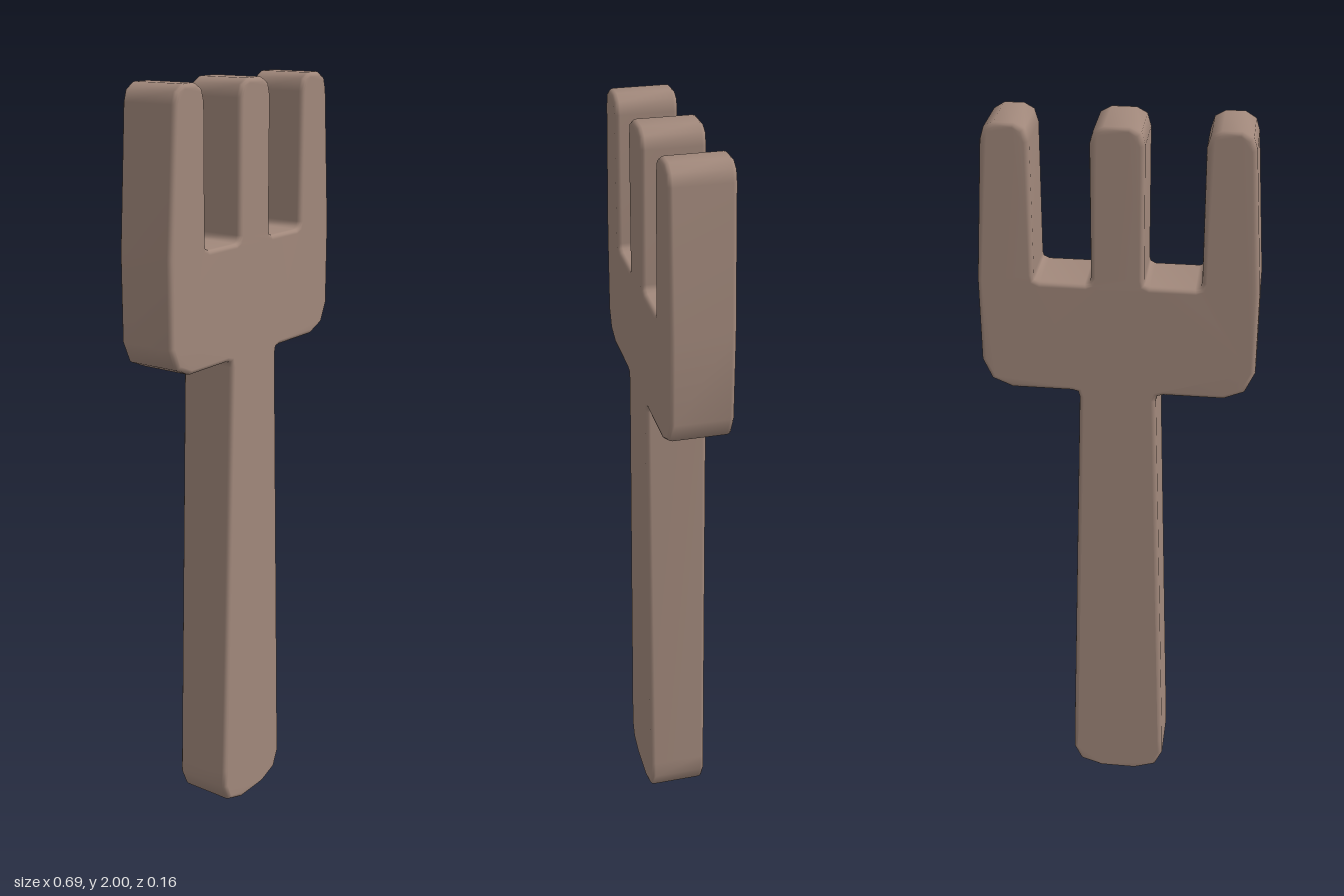
import * as THREE from 'three';
import { mergeVertices } from 'three/addons/utils/BufferGeometryUtils.js';

const BEVEL = 0.012;
const DEPTH = 0.16;

// Right half of the outline, from the handle end up to the middle tine
const half = [
  // handle with chamfered end
  [0.05, 0], [0.112, 0.022], [0.133, 0.07], [0.132, 0.12], [0.098, 1.285], [0.102, 1.3], [0.117, 1.304],
  // head with chamfered lower corner
  [0.27, 1.304], [0.322, 1.326], [0.346, 1.38], [0.346, 1.6],
  // outer tine
  [0.322, 1.955], [0.313, 1.984], [0.287, 2], [0.24, 2], [0.215, 1.986], [0.206, 1.955],
  // gap
  [0.206, 1.62], [0.203, 1.608], [0.19, 1.602], [0.08, 1.602], [0.068, 1.608], [0.065, 1.62],
  // middle tine
  [0.065, 1.955], [0.056, 1.986], [0.03, 2],
];

export function createModel() {
  const group = new THREE.Group();
  const wood = new THREE.MeshStandardMaterial({ color: 0xa1887b });
  wood.name = 'warm brown';

  const mirrored = half.map(([x, y]) => [-x, y]).reverse();
  const shape = new THREE.Shape([...half, ...mirrored].map(([x, y]) => new THREE.Vector2(x, y)));

  // Slab with softly rounded rims
  let geometry = new THREE.ExtrudeGeometry(shape, {
    depth: DEPTH - 2 * BEVEL,
    bevelEnabled: true,
    bevelThickness: BEVEL,
    bevelSize: BEVEL,
    bevelOffset: -BEVEL,
    bevelSegments: 3,
  });
  geometry.translate(0, 0, BEVEL - DEPTH / 2);

  // Share vertices so the whole surface shades smoothly
  geometry.deleteAttribute('normal');
  geometry.deleteAttribute('uv');
  geometry.clearGroups();
  geometry = mergeVertices(geometry, 1e-4);
  geometry.computeVertexNormals();

  const fork = new THREE.Mesh(geometry, wood);
  fork.name = 'fork';
  group.add(fork);
  return group;
}
